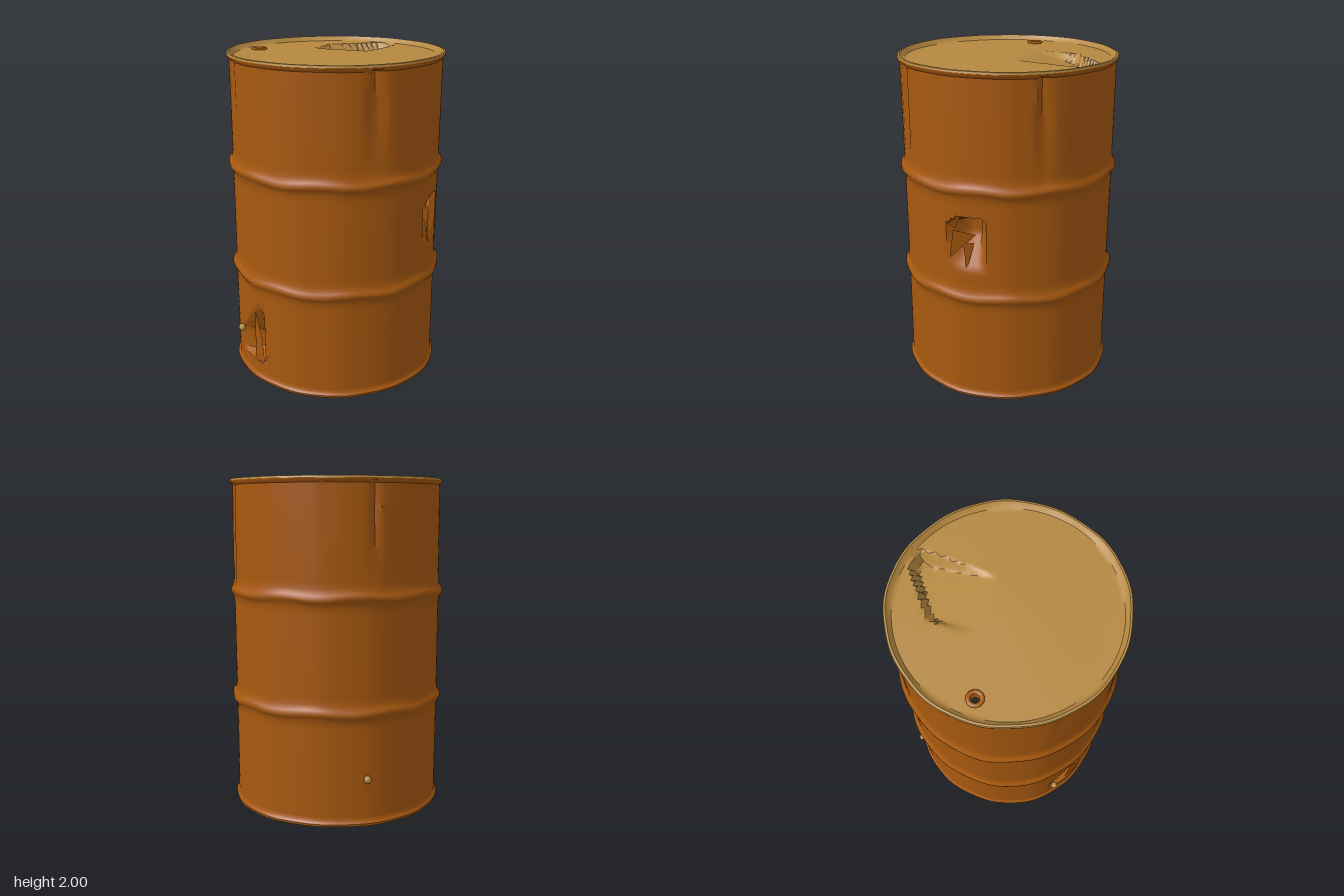
import * as THREE from 'three';
import { toCreasedNormals } from 'three/addons/utils/BufferGeometryUtils.js';

const rust = new THREE.MeshStandardMaterial({ name: 'rusty orange', color: 0xa8590f, side: THREE.DoubleSide });
const shell = new THREE.MeshStandardMaterial({ name: 'rusty orange shell', color: 0xa8590f });
const tan = new THREE.MeshStandardMaterial({ name: 'faded tan', color: 0xb58840 });

const clamp = THREE.MathUtils.clamp;
const ramp = (v, width) => clamp(v / width, 0, 1);
const HOLE = { x: -0.515, z: 0.02, r: 0.036 };

// Splits a coarse profile into short steps so that dents have vertices to move
function fineProfile(pts, step) {
  const out = [];
  pts.forEach(([r, y], i) => {
    out.push(new THREE.Vector2(r, y));
    if (i === pts.length - 1) return;
    const [r2, y2] = pts[i + 1];
    const n = Math.ceil(Math.hypot(r2 - r, y2 - y) / step);
    for (let k = 1; k < n; k++) out.push(new THREE.Vector2(r + (r2 - r) * k / n, y + (y2 - y) * k / n));
  });
  return out;
}

// Turns a profile, then moves each vertex by a rule
function dented(profile, rule, crease) {
  const geo = new THREE.LatheGeometry(fineProfile(profile, 0.022), 128);
  const p = geo.attributes.position;
  const v = new THREE.Vector3();
  for (let i = 0; i < p.count; i++) {
    v.fromBufferAttribute(p, i);
    rule(v);
    p.setXYZ(i, v.x, v.y, v.z);
  }
  return toCreasedNormals(geo, crease);
}

// Shallow creases below the top rim: angle from +z towards +x, half width, low end, depth
const CREASES = [
  [0.79, 0.085, 1.38, 0.03], [2.27, 0.07, 1.3, 0.025], [-2.36, 0.045, 1.4, 0.03],
  [-2.78, 0.05, 1.6, 0.02], [0.42, 0.05, 1.86, 0.02], [-0.75, 0.06, 1.5, 0.01],
];

function dentShell(v) {
  const r = Math.hypot(v.x, v.z);
  if (r < 0.6) {
    // Stepped dent in the base plate
    v.y += 0.035 * ramp(v.z + 0.1 + Math.abs(v.x + 0.08) * 0.6, 0.06) * ramp(0.58 - r, 0.1);
    return;
  }
  const a = Math.atan2(v.x, v.z);
  let d = 0.003 * Math.sin(a * 5 + v.y * 2) + 0.002 * Math.sin(a * 13 + 1);
  // Wavy rolling ribs
  const rib = Math.max(0, 1 - Math.min(Math.abs(v.y - 0.67), Math.abs(v.y - 1.33)) / 0.07);
  v.y += rib * 0.008 * Math.sin(a * 9 + v.y * 4);
  for (const [ca, half, low, depth] of CREASES) {
    const side = Math.abs(a - ca);
    const taper = half * (0.65 + 0.35 * ramp(1.95 - v.y, 0.2));
    if (v.y < 1.965) d -= depth * ramp(taper - side, 0.04) * ramp(v.y - low, 0.5);
  }
  // Punched-in hole on the left flank
  if (v.x > 0.5) {
    const top = 1.17 - 0.5 * Math.max(0, v.z - 0.01);
    const edge = Math.min(ramp(v.z + 0.11, 0.025), ramp(0.12 - v.z, 0.1), ramp(top - v.y, 0.025));
    d -= 0.12 * edge * ramp(v.y - 0.84, 0.2);
  }
  // Slanted tear low on the front
  if (v.z > 0.4 && v.y < 0.6) {
    const slant = (v.x + 0.42) * 0.8 - (v.y - 0.28) * 0.6;
    const edge = Math.min(ramp(v.y > 0.28 ? slant : v.x + 0.42, 0.1), ramp(-0.2 - v.x, 0.1), ramp(v.y - 0.13, 0.03));
    d -= 0.11 * edge * ramp(0.58 - v.y, 0.15);
  }
  const k = (r + d) / r;
  v.x *= k;
  v.z *= k;
}

function dentLid(v) {
  const r = Math.hypot(v.x, v.z);
  if (r > 0.615) {
    const a = Math.atan2(v.x, v.z);
    const k = 1 + (0.003 * Math.sin(a * 5 + 4) + 0.002 * Math.sin(a * 13 + 1)) / r;
    v.x *= k;
    v.z *= k;
    return;
  }
  // Scooped dent with a steep back wall
  const d = Math.min(0.643 * (v.x + 0.2) + 0.766 * (v.z + 0.37), 0.16 - v.x, v.x + 0.2, v.z + 0.58);
  v.y -= 0.085 * ramp(d, 0.025) * ramp(-0.12 - v.z, 0.35);
  v.y += 0.006 * Math.sin(v.x * 4 + 1) * Math.cos(v.z * 5) * ramp(0.6 - r, 0.2);
}

// Removes the triangles lying inside the bung hole
function punchHole(geo) {
  const p = geo.attributes.position;
  const keep = [];
  for (let i = 0; i < p.count; i += 3) {
    const x = (p.getX(i) + p.getX(i + 1) + p.getX(i + 2)) / 3;
    const z = (p.getZ(i) + p.getZ(i + 1) + p.getZ(i + 2)) / 3;
    if (Math.hypot(x - HOLE.x, z - HOLE.z) > HOLE.r) keep.push(i, i + 1, i + 2);
  }
  geo.setIndex(keep);
  return geo;
}

// Torn scrap of sheet metal through the given corners
function flap(name, corners) {
  const geo = new THREE.BufferGeometry().setFromPoints(corners.map((c) => new THREE.Vector3(...c)));
  geo.setIndex(corners.length === 4 ? [0, 1, 2, 0, 2, 3] : [0, 1, 2]);
  geo.computeVertexNormals();
  return part(name, geo, rust);
}

function part(name, geo, mat, x = 0, y = 0, z = 0) {
  const m = new THREE.Mesh(geo, mat);
  m.name = name;
  m.position.set(x, y, z);
  return m;
}

export function createModel() {
  const g = new THREE.Group();
  g.name = 'drum';

  // Base plate, bottom rim, ribbed wall and top rim
  const wall = [[0, 0.04], [0.6, 0.04], [0.628, 0.008], [0.638, 0], [0.65, 0.004], [0.652, 0.018], [0.638, 0.035]];
  for (const y of [0.67, 1.33]) {
    wall.push([0.638, y - 0.07], [0.644, y - 0.035], [0.661, y - 0.008], [0.661, y + 0.008], [0.644, y + 0.035], [0.638, y + 0.07]);
  }
  wall.push([0.638, 1.962], [0.65, 1.976], [0.652, 1.988]);
  g.add(part('drumShell', dented(wall, dentShell, 0.7), shell));

  // Lid with raised rim
  const lid = [[0.652, 1.986], [0.648, 1.998], [0.636, 2], [0.624, 1.985], [0.61, 1.972], [0, 1.978]];
  g.add(part('lid', punchHole(dented(lid, dentLid, 0.7)), tan));

  // Bung hole collar and neck
  const collar = new THREE.TorusGeometry(0.037, 0.013, 6, 12).rotateX(Math.PI / 2).scale(1, 0.7, 1);
  g.add(part('bungCollar', collar, rust, HOLE.x, 1.975, HOLE.z));
  g.add(part('bungNeck', new THREE.CylinderGeometry(0.034, 0.026, 0.06, 8, 1, true), rust, HOLE.x, 1.945, HOLE.z));

  // Small studs low on the wall
  for (const [x, z] of [[-0.42, 0.505], [-0.43, -0.495]]) {
    g.add(part('stud', new THREE.SphereGeometry(0.024, 8, 6), tan, x, 0.285, z));
  }

  // Torn metal around the flank hole and the front tear
  g.add(flap('flankFlap', [[0.64, 0.91, 0.1], [0.6, 1.06, -0.05], [0.65, 1.09, 0.07]]));
  g.add(flap('flankSplinter', [[0.63, 0.83, 0.0], [0.58, 1.0, -0.03], [0.62, 1.0, 0.02]]));
  g.add(flap('flankLip', [[0.635, 1.12, 0.12], [0.655, 1.14, 0.09], [0.63, 1.2, 0.02], [0.62, 1.09, 0.07]]));
  g.add(flap('frontFlap', [[-0.3, 0.12, 0.55], [-0.2, 0.1, 0.605], [-0.22, 0.3, 0.6], [-0.28, 0.46, 0.57]]));
  return g;
}
